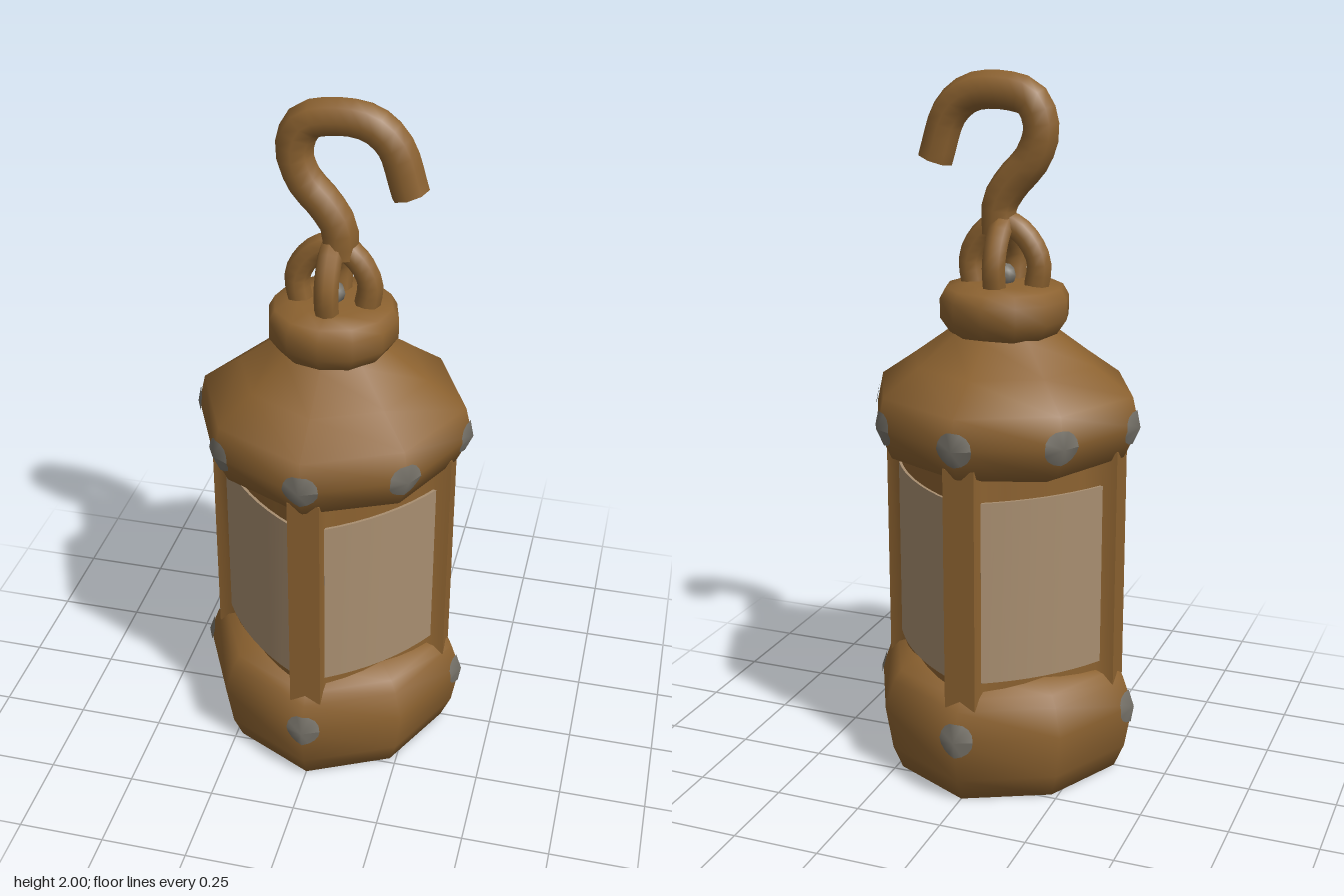
import * as THREE from 'three';
import { toCreasedNormals } from 'three/addons/utils/BufferGeometryUtils.js';

const brown = new THREE.MeshStandardMaterial({ color: 0x8c6230 });
brown.name = 'weatheredBrown';
const glass = new THREE.MeshStandardMaterial({ color: 0xa88e70 });
glass.name = 'dustyGlass';
const grey = new THREE.MeshStandardMaterial({ color: 0x77736a });
grey.name = 'rivetGrey';

export function createModel() {
  const lantern = new THREE.Group();
  lantern.name = 'lantern';

  const add = (name, geometry, material) => {
    const mesh = new THREE.Mesh(geometry, material);
    mesh.name = name;
    lantern.add(mesh);
  };

  // Turned part; the corners off the x and z axes can be drawn in a little
  const lathe = (points, sides, diagonal = 1) => {
    const geometry = new THREE.LatheGeometry(points.map(([r, y]) => new THREE.Vector2(r, y)), sides);
    const p = geometry.attributes.position;
    for (let i = 0; i < p.count; i++) {
      if (Math.min(Math.abs(p.getX(i)), Math.abs(p.getZ(i))) > 0.01) {
        p.setX(i, p.getX(i) * diagonal);
        p.setZ(i, p.getZ(i) * diagonal);
      }
    }
    return toCreasedNormals(geometry, 1.25);
  };

  // Octagonal base and roof, with corners on the x and z axes
  add('base', lathe([[0, 0], [0.345, 0], [0.375, 0.07], [0.398, 0.2], [0.37, 0.28],
    [0.345, 0.31], [0.275, 0.345], [0.2, 0.35]], 8, 0.95), brown);
  add('roof', lathe([[0.2, 0.91], [0.29, 0.925], [0.355, 0.955], [0.397, 1.045], [0.378, 1.13],
    [0.27, 1.205], [0.16, 1.285], [0.13, 1.31]], 8, 0.965), brown);
  add('collar', lathe([[0.13, 1.27], [0.155, 1.29], [0.182, 1.33], [0.182, 1.385],
    [0.165, 1.415], [0.1, 1.425], [0, 1.425]], 12), brown);

  // Gently bowed four-sided body with a post standing out at each corner
  const bow = 0.022;
  const wall = 0.2475;
  const half = 0.1768;
  const outline = [];
  for (let i = 0; i < 4; i++) {
    const turn = i * Math.PI / 2;
    const place = (x, y, angle) => outline.push(
      new THREE.Vector2(x, y).rotateAround(new THREE.Vector2(), angle));
    place(0.045, 0.35, turn);
    place(-0.045, 0.35, turn);
    for (let k = 0; k <= 6; k++) {
      const t = 1 - k / 3;
      place(t * half, wall + bow * (1 - t * t), turn + Math.PI / 4);
    }
  }
  const body = new THREE.ExtrudeGeometry(new THREE.Shape(outline), { depth: 0.7, bevelEnabled: false });
  body.rotateX(-Math.PI / 2).translate(0, 0.28, 0);
  add('bodyAndPosts', toCreasedNormals(body, 0.9), brown);

  // Four bowed glass panes on the diagonal walls
  for (let i = 0; i < 4; i++) {
    const pane = new THREE.BoxGeometry(0.37, 0.53, 0.008, 8, 1, 1);
    const p = pane.attributes.position;
    for (let k = 0; k < p.count; k++) {
      const t = p.getX(k) / half;
      p.setZ(k, p.getZ(k) + wall + 0.005 + bow * (1 - t * t));
    }
    pane.translate(0, 0.615, 0).rotateY(Math.PI / 4 + i * Math.PI / 2);
    add('pane', toCreasedNormals(pane, 0.9), glass);
  }

  // Rivets folded over the corners: eight on the roof, four on the base
  const addRivet = (name, y, angle, radius, fold, slopeUp, slopeDown) => {
    const disc = new THREE.CircleGeometry(0.05, 16);
    const p = disc.attributes.position;
    for (let i = 0; i < p.count; i++) {
      const dy = p.getY(i);
      p.setZ(i, -fold * Math.abs(p.getX(i)) - Math.abs(dy) * (dy > 0 ? slopeUp : slopeDown));
    }
    disc.computeVertexNormals();
    disc.translate(0, y, radius).rotateY(angle);
    add(name, disc, grey);
  };
  for (let i = 0; i < 4; i++) {
    const turn = i * Math.PI / 2;
    addRivet('roofRivet', 1.045, turn, 0.401, 0.45, 0.2, 0.44);
    addRivet('roofRivet', 1.045, turn + Math.PI / 4, 0.387, 0.32, 0.2, 0.44);
    addRivet('baseRivet', 0.2, turn, 0.402, 0.46, 0.34, 0.17);
  }

  // Round bar along a path, with closed ends
  const bar = (name, points, radius, segments) => {
    const curve = new THREE.CatmullRomCurve3(points.map(([x, y, z]) => new THREE.Vector3(x, y, z)));
    add(name, new THREE.TubeGeometry(curve, segments, radius, 8, false), brown);
    for (const t of [0, 1]) {
      const cap = new THREE.CircleGeometry(radius, 8);
      const out = curve.getTangent(t).multiplyScalar(t ? 1 : -1);
      cap.applyQuaternion(new THREE.Quaternion().setFromUnitVectors(new THREE.Vector3(0, 0, 1), out));
      cap.translate(...curve.getPoint(t).toArray());
      add(name + 'End', cap, brown);
    }
  };

  // Two crossing arches on the collar
  const arch = (w) => [[-w, 1.4], [-w - 0.01, 1.49], [-w * 0.6, 1.565], [0, 1.59],
    [w * 0.6, 1.565], [w + 0.01, 1.49], [w, 1.4]];
  bar('wideArch', arch(0.09).map(([a, y]) => [a, y, 0]), 0.036, 18);
  bar('narrowArch', arch(0.075).map(([a, y]) => [0, y, a]), 0.034, 18);
  add('pin', new THREE.SphereGeometry(0.033, 8, 6).translate(0, 1.445, 0), grey);

  // Hanging hook
  bar('hook', [[0.015, 1.56, 0], [0.015, 1.64, 0], [-0.02, 1.7, 0], [-0.08, 1.77, 0],
    [-0.105, 1.85, 0], [-0.075, 1.925, 0], [0.01, 1.948, 0], [0.1, 1.937, 0],
    [0.16, 1.885, 0], [0.205, 1.755, 0]], 0.052, 24);

  return lantern;
}
